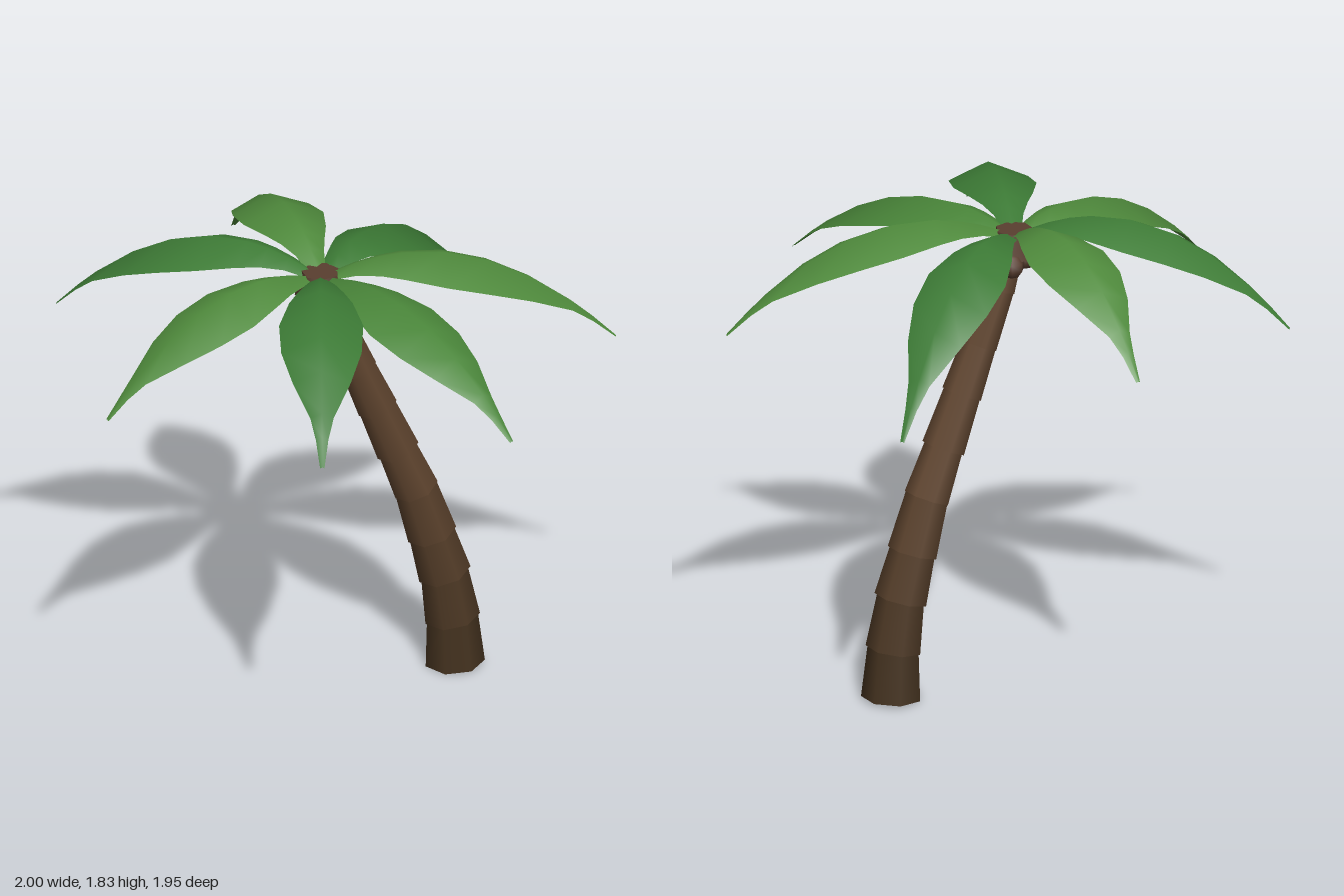
import * as THREE from 'three';

const UP = new THREE.Vector3(0, 1, 0);
const HUB = new THREE.Vector3(-0.09, 1.72, -0.05);

// Trunk joints: x, y, z, radius at the lower rim of each segment
const JOINTS = [
  [0.43, 0.012, -0.205, 0.113], [0.42, 0.2, -0.2, 0.105], [0.39, 0.39, -0.193, 0.101],
  [0.341, 0.565, -0.18, 0.095], [0.28, 0.765, -0.16, 0.086], [0.208, 0.945, -0.136, 0.083],
  [0.129, 1.14, -0.11, 0.077], [0.056, 1.318, -0.086, 0.07], [-0.025, 1.52, -0.065, 0.064],
  [-0.07, 1.66, -0.05, 0.06],
];

// Fronds: tip x, y, z, rise of the arch above the hub, colour
const FRONDS = [
  [-0.28, 1.47, -0.98, 0.12, 0x4f8a3c],
  [0.57, 1.26, -0.79, 0.065, 0x3c7a35],
  [1.0, 1.43, 0.01, 0.09, 0x4f8a3c],
  [0.5, 1.43, 0.79, 0.06, 0x498539],
  [-0.23, 1.47, 0.97, 0.1, 0x3c7a35],
  [-0.94, 1.4, 0.35, 0.06, 0x4f8a3c],
  [-1.0, 1.43, -0.54, 0.1, 0x3f7d37],
];

// Half width of a frond along its length: [fraction, half width]
const WIDTHS = [
  [0.04, 0.035], [0.12, 0.055], [0.2, 0.085], [0.28, 0.117], [0.42, 0.155],
  [0.57, 0.148], [0.71, 0.107], [0.85, 0.043], [0.92, 0.023], [1, 0.008],
];

// Arched, ridged leaf blade swept from the hub to its tip
function frondGeometry([tx, ty, tz, rise]) {
  const dx = tx - HUB.x, dz = tz - HUB.z, len = Math.hypot(dx, dz);
  const sx = -dz / len, sz = dx / len;
  // Parabola through hub and tip with the given peak
  const drop = HUB.y - ty;
  const a = 2 * rise + 2 * Math.sqrt(rise * rise + rise * drop);
  const b = a + drop;
  const pos = [], index = [];
  WIDTHS.forEach(([u, w], i) => {
    const y = HUB.y + a * u - b * u * u;
    for (const s of [-1, 0, 1]) {
      pos.push(HUB.x + dx * u + s * sx * w, y - Math.abs(s) * w * 0.45, HUB.z + dz * u + s * sz * w);
    }
    if (i === 0) return;
    for (let j = 0; j < 2; j++) {
      const p = (i - 1) * 3 + j, q = p + 3;
      index.push(p, p + 1, q, p + 1, q + 1, q);
    }
  });
  const geo = new THREE.BufferGeometry();
  geo.setAttribute('position', new THREE.Float32BufferAttribute(pos, 3));
  geo.setIndex(index);
  geo.computeVertexNormals();
  return geo;
}

export function createModel() {
  const palm = new THREE.Group();
  palm.name = 'palmTree';

  // Trunk: stacked seven-sided segments, each flared at its lower rim
  const trunk = new THREE.Group();
  trunk.name = 'trunk';
  for (let i = 0; i < JOINTS.length - 1; i++) {
    const from = new THREE.Vector3(...JOINTS[i]);
    const to = new THREE.Vector3(...JOINTS[i + 1]);
    const dir = to.clone().sub(from);
    const length = dir.length() + 0.012;
    dir.normalize();
    const r = JOINTS[i][3];
    const color = new THREE.Color(0x44321f).lerp(new THREE.Color(0x60452f), Math.min(1, i / 4));
    const segment = new THREE.Mesh(
      new THREE.CylinderGeometry(r * 0.86, r, length, 7, 1, false, Math.PI),
      new THREE.MeshStandardMaterial({ color }));
    segment.name = `trunkSegment${i + 1}`;
    segment.quaternion.setFromUnitVectors(UP, dir);
    segment.position.copy(from).addScaledVector(dir, length / 2);
    trunk.add(segment);
  }
  palm.add(trunk);

  // Crown hub joining the fronds
  const brown = new THREE.MeshStandardMaterial({ color: 0x5a3f30 });
  const hub = new THREE.Mesh(new THREE.CylinderGeometry(0.07, 0.095, 0.1, 7), brown);
  hub.name = 'crownHub';
  hub.position.set(HUB.x, 1.695, HUB.z);
  palm.add(hub);

  // Coconuts under the crown
  const nuts = new THREE.Group();
  nuts.name = 'coconuts';
  for (const [x, y, z] of [[-0.145, 1.61, 0.0], [-0.01, 1.615, -0.02], [-0.06, 1.625, -0.115], [-0.085, 1.63, 0.045]]) {
    const nut = new THREE.Mesh(new THREE.SphereGeometry(0.048, 7, 5), brown);
    nut.name = 'coconut';
    nut.position.set(x, y, z);
    nuts.add(nut);
  }
  palm.add(nuts);

  // Fronds
  const fronds = new THREE.Group();
  fronds.name = 'fronds';
  FRONDS.forEach((f, i) => {
    const frond = new THREE.Mesh(frondGeometry(f),
      new THREE.MeshStandardMaterial({ color: f[4], side: THREE.DoubleSide }));
    frond.name = `frond${i + 1}`;
    fronds.add(frond);
  });
  palm.add(fronds);

  return palm;
}
